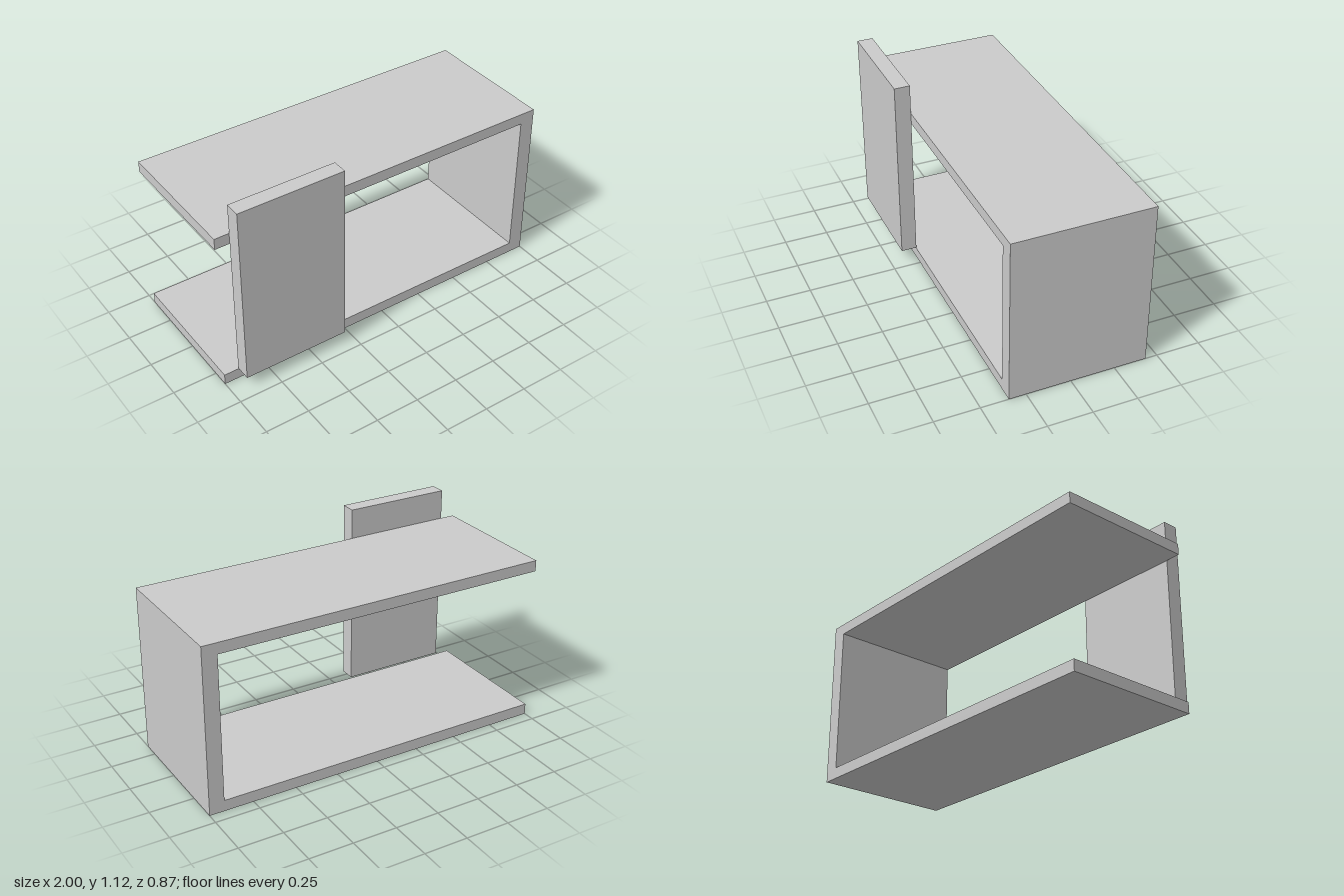
import * as THREE from 'three';

export function createModel() {
  const group = new THREE.Group();
  const material = new THREE.MeshStandardMaterial({ color: 0xcccccc, flatShading: true });

  // C-shaped frame, open towards -x, extruded along z
  const profile = new THREE.Shape([
    [-1, 0], [1, 0], [1, 0.955], [-1, 0.955],
    [-1, 0.892], [0.915, 0.892], [0.915, 0.063], [-1, 0.063],
  ].map(([x, y]) => new THREE.Vector2(x, y)));
  const frame = new THREE.Mesh(
    new THREE.ExtrudeGeometry(profile, { depth: 0.778, bevelEnabled: false }), material);
  frame.name = 'openFrame';
  frame.position.z = -0.433;
  group.add(frame);

  // Upright panel fixed to the front edges of the frame
  const panel = new THREE.Mesh(new THREE.BoxGeometry(0.61, 1.057, 0.088), material);
  panel.name = 'frontPanel';
  panel.position.set(-0.612, 0.5965, 0.389);
  group.add(panel);

  return group;
}
